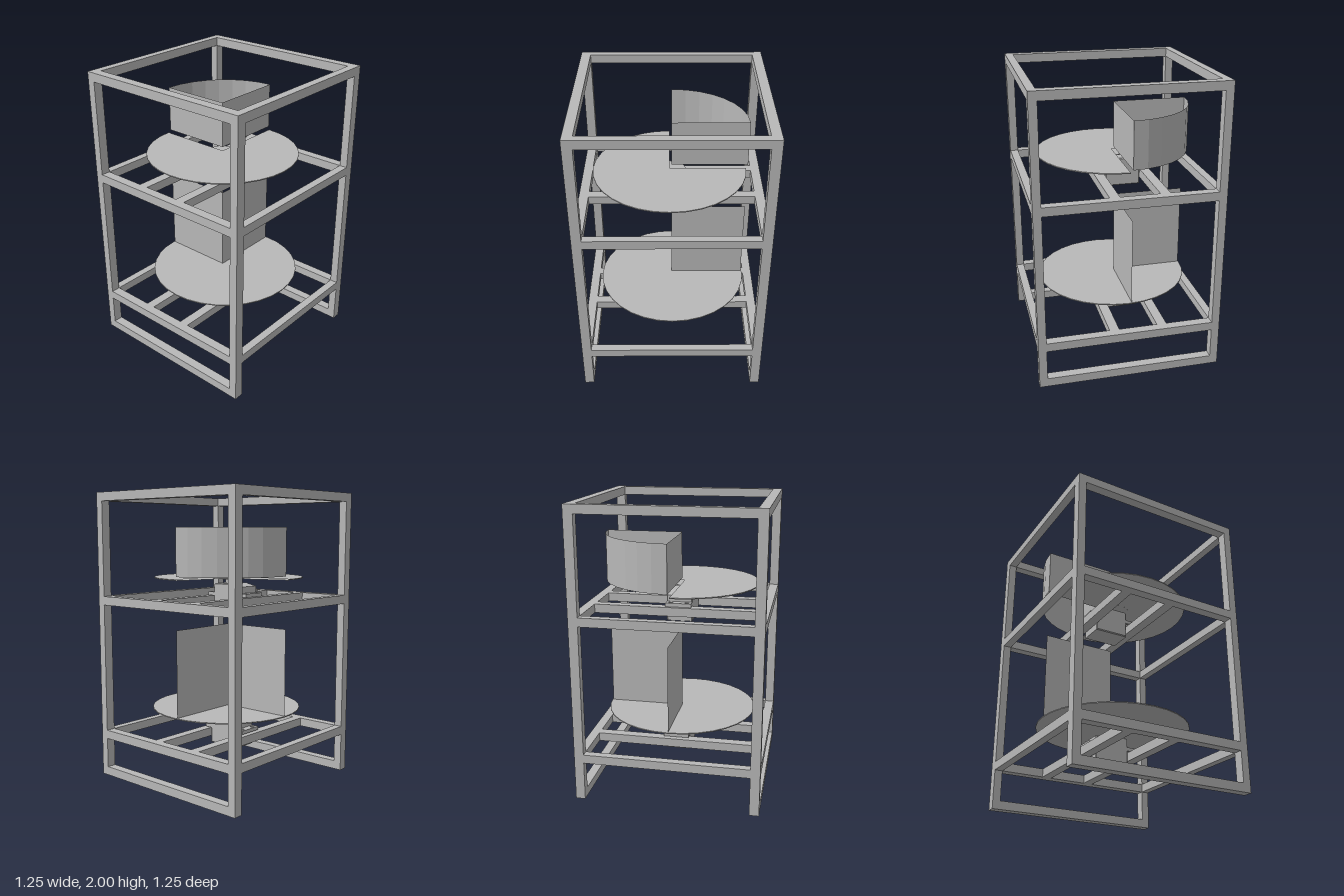
import * as THREE from 'three';

const grey = new THREE.MeshStandardMaterial({ color: 0xb8b8b8, side: THREE.DoubleSide, flatShading: true });
grey.name = 'grey';

function add(parent, name, geometry, x = 0, y = 0, z = 0) {
  const mesh = new THREE.Mesh(geometry, grey);
  mesh.name = name;
  mesh.position.set(x, y, z);
  parent.add(mesh);
  return mesh;
}

const box = (w, h, d) => new THREE.BoxGeometry(w, h, d);

// Square-tube frame: posts, perimeter rails and motor joists
function makeFrame() {
  const frame = new THREE.Group();
  frame.name = 'frame';
  const H = 0.627, bx = 0.055, bz = 0.065, h = 0.06;
  const px = H - bx / 2, pz = H - bz / 2;
  const spanX = 2 * (H - bx), spanZ = 2 * (H - bz);
  for (const sx of [-1, 1]) {
    for (const sz of [-1, 1]) add(frame, 'post', box(bx, 2, bz), sx * px, 1, sz * pz);
    for (const y of [0.3, 1.257, 1.97]) add(frame, 'sideRail', box(bx, h, spanZ), sx * px, y, 0);
  }
  for (const s of [-1, 1]) {
    for (const y of [0.03, 0.3, 1.257, 1.97]) {
      add(frame, s > 0 ? 'frontRail' : 'backRail', box(spanX, h, bz), 0, y, s * pz);
    }
  }
  for (const y of [0.3, 1.257]) {
    for (const x of [-0.232, 0.1]) add(frame, 'joist', box(0.067, h, spanZ), x, y, 0);
  }
  return frame;
}

// Geared motor hanging between the joists; local y = 0 is the rail top
function makeMotor() {
  const motor = new THREE.Group();
  motor.name = 'motor';
  const b = 0.006, depth = 0.176;
  const profile = new THREE.Shape([
    [-0.115, -0.1], [0.115, -0.1], [0.115, 0.078], [0.105, 0.084],
    [-0.035, 0.084], [-0.06, 0.078], [-0.115, 0.066],
  ].map(([x, y]) => new THREE.Vector2(x, y)));
  const body = new THREE.ExtrudeGeometry(profile, {
    depth: depth - 2 * b, bevelSize: b, bevelThickness: b, bevelSegments: 1,
  });
  body.translate(0, 0, -depth / 2 + b);
  add(motor, 'motorBody', body);

  // Mounting flange with four screw holes
  const w = 0.173, d = depth / 2;
  const plate = new THREE.Shape([[-w, -d], [w, -d], [w, d], [-w, d]].map(([x, y]) => new THREE.Vector2(x, y)));
  for (const sx of [-1, 1]) {
    for (const sy of [-1, 1]) {
      plate.holes.push(new THREE.Path().absarc(sx * 0.144, sy * 0.055, 0.015, 0, Math.PI * 2, true));
    }
  }
  const flange = new THREE.ExtrudeGeometry(plate, { depth: 0.025, bevelEnabled: false, curveSegments: 8 });
  flange.rotateX(-Math.PI / 2);
  add(motor, 'mountingFlange', flange, 0, 0.002, 0);
  return motor;
}

// Shallow turntable disc, full or with its back-right quarter left out
function makeDisc(radius, cut) {
  const points = [[0, -0.012], [0.15, -0.01], [radius, -0.003], [radius, 0.004], [0, 0.004]]
    .map(([x, y]) => new THREE.Vector2(x, y));
  return cut
    ? new THREE.LatheGeometry(points, 24, -Math.PI / 2, Math.PI * 1.5)
    : new THREE.LatheGeometry(points, 32);
}

// Upright sheet following a path of [x, z] points
function makeSheet(path, y0, y1) {
  const pos = [], index = [];
  path.forEach(([x, z], i) => {
    pos.push(x, y0, z, x, y1, z);
    if (i) {
      const a = 2 * i - 2;
      index.push(a, a + 2, a + 1, a + 1, a + 2, a + 3);
    }
  });
  const g = new THREE.BufferGeometry();
  g.setAttribute('position', new THREE.Float32BufferAttribute(pos, 3));
  g.setIndex(index);
  g.computeVertexNormals();
  return g;
}

export function createModel() {
  const model = new THREE.Group();
  model.name = 'turntableRack';
  model.add(makeFrame());

  const levels = [
    { name: 'lower', railY: 0.333, x: -0.01, z: -0.004, motorX: -0.064, discY: 0.496, radius: 0.524, y0: 0.497, y1: 1.09, cut: false },
    { name: 'upper', railY: 1.287, x: -0.016, z: 0.014, motorX: -0.077, discY: 1.418, radius: 0.521, y0: 1.44, y1: 1.76, cut: true },
  ];
  for (const l of levels) {
    const level = new THREE.Group();
    level.name = l.name + 'Turntable';
    model.add(level);

    const motor = makeMotor();
    motor.position.set(l.motorX, l.railY, l.z);
    level.add(motor);

    // Shaft, collar and hub plate
    const y0 = l.railY + 0.08, y1 = l.discY - 0.008;
    add(level, 'shaft', new THREE.CylinderGeometry(0.022, 0.022, y1 - y0, 16), l.x, (y0 + y1) / 2, l.z);
    if (l.cut) {
      add(level, 'hubPlate', new THREE.CylinderGeometry(0.11, 0.11, 0.006, 32), l.x, l.discY - 0.008, l.z);
    } else {
      add(level, 'collar', new THREE.CylinderGeometry(0.037, 0.037, 0.02, 16), l.x, 0.468, l.z);
    }
    add(level, 'disc', makeDisc(l.radius, l.cut), l.x, l.discY, l.z);

    // Quarter bin: two flat walls, and a curved outer wall on the upper one
    const corner = [-0.03, 0], ex = 0.5, ez = 0.52;
    add(level, 'binWalls', makeSheet([[corner[0] - ex, 0], corner, [corner[0], -ez]], l.y0, l.y1));
    if (l.cut) {
      const arc = Array.from({ length: 9 }, (_, i) => {
        const a = (i / 8) * Math.PI / 2;
        return [corner[0] - ex * Math.cos(a), -ez * Math.sin(a)];
      });
      add(level, 'curvedBinWall', makeSheet(arc, l.y0, l.y1));
    }
  }
  return model;
}
